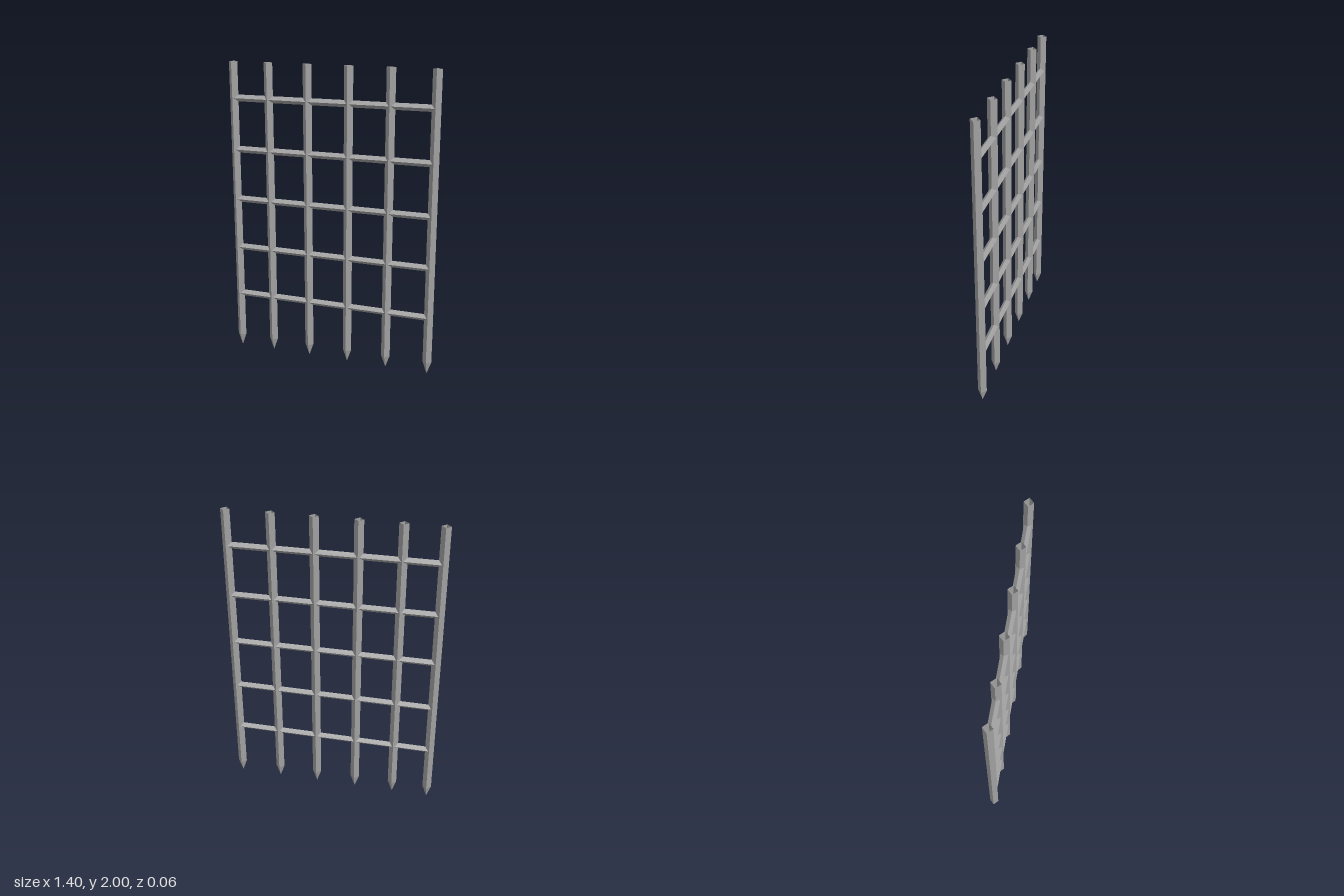
import * as THREE from 'three';

export function createModel() {
  const group = new THREE.Group();
  const iron = new THREE.MeshStandardMaterial({ color: 0xa0a0a0, flatShading: true, side: THREE.DoubleSide });
  iron.name = 'grey iron';

  const postRadius = 0.03, railRadius = 0.0225, height = 2, spike = 0.085;

  // Upright bars: open diamond tubes running down into a point
  const shaftGeometry = new THREE.CylinderGeometry(postRadius, postRadius, height - spike, 4, 1, true);
  const spikeGeometry = new THREE.CylinderGeometry(postRadius, 0, spike, 4, 1, true);
  [-0.672, -0.427, -0.16, 0.115, 0.387, 0.672].forEach((x, i) => {
    const bar = new THREE.Group();
    bar.name = `uprightBar${i + 1}`;
    const shaft = new THREE.Mesh(shaftGeometry, iron);
    shaft.name = 'shaft';
    shaft.position.y = (height + spike) / 2;
    const point = new THREE.Mesh(spikeGeometry, iron);
    point.name = 'spike';
    point.position.y = spike / 2;
    bar.add(shaft, point);
    bar.position.x = x;
    group.add(bar);
  });

  // Cross bars: thinner diamond bars threaded through the uprights
  const railGeometry = new THREE.CylinderGeometry(railRadius, railRadius, 1.344, 4, 1, true);
  railGeometry.rotateZ(Math.PI / 2);
  for (let i = 0; i < 5; i++) {
    const rail = new THREE.Mesh(railGeometry, iron);
    rail.name = `crossBar${i + 1}`;
    rail.position.y = 0.4 + i * 0.341;
    group.add(rail);
  }
  return group;
}
